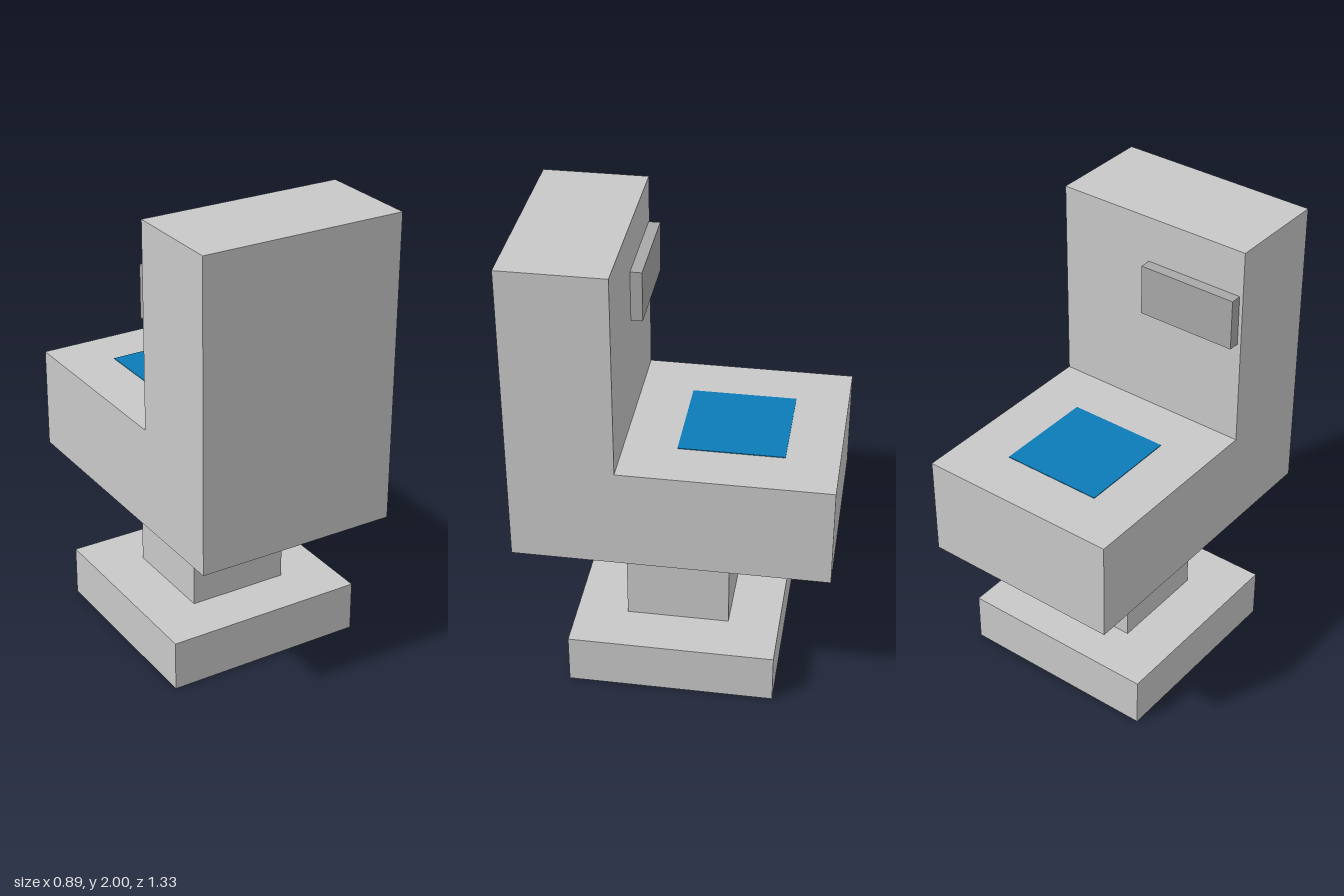
import * as THREE from 'three';

const mat = (name, color) => {
  const m = new THREE.MeshStandardMaterial({ color });
  m.name = name;
  return m;
};

export function createModel() {
  const group = new THREE.Group();
  group.name = 'chair';
  const lightGrey = mat('light grey', 0xc8c8c8);
  const midGrey = mat('mid grey', 0xa8a8a8);
  const blue = mat('blue', 0x0c7bb7);

  const add = (name, geometry, material) => {
    const mesh = new THREE.Mesh(geometry, material);
    mesh.name = name;
    group.add(mesh);
  };
  // Box given by its lower and upper limits on each axis
  const box = (name, [x0, x1], [y0, y1], [z0, z1], material) => {
    const g = new THREE.BoxGeometry(x1 - x0, y1 - y0, z1 - z0);
    g.translate((x0 + x1) / 2, (y0 + y1) / 2, (z0 + z1) / 2);
    add(name, g, material);
  };

  // Foot and pedestal
  box('foot', [-0.444, 0.444], [0, 0.222], [-0.444, 0.444], lightGrey);
  box('pedestal', [-0.222, 0.222], [0.222, 0.667], [-0.222, 0.222], lightGrey);

  // L-shaped seat and backrest: side profile (z, y) extruded across x
  const profile = new THREE.Shape([
    [-0.667, 0.667], [0.667, 0.667], [0.667, 2],
    [0.222, 2], [0.222, 1.111], [-0.667, 1.111],
  ].map(([z, y]) => new THREE.Vector2(z, y)));
  const body = new THREE.ExtrudeGeometry(profile, { depth: 0.888, bevelEnabled: false });
  body.translate(0, 0, -0.444).rotateY(-Math.PI / 2);
  add('seatAndBackrest', body, lightGrey);

  // Blue panel on the seat
  box('seatPanel', [-0.222, 0.222], [1.111, 1.114], [-0.444, 0], blue);

  // Small raised plate on the backrest
  box('backrestPlate', [-0.428, 0.016], [1.578, 1.8], [0.173, 0.222], midGrey);

  return group;
}
